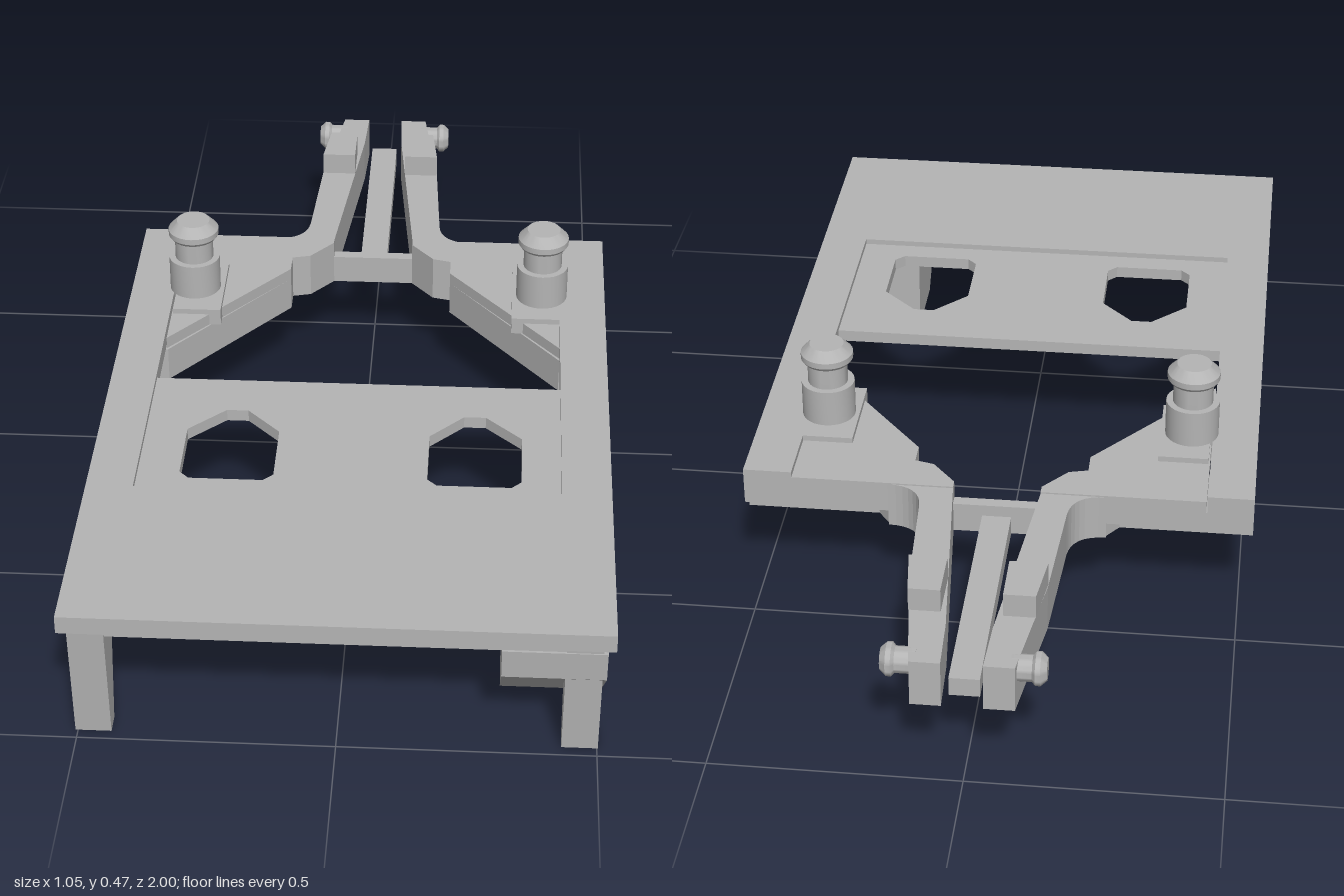
import * as THREE from 'three';
import { toCreasedNormals } from 'three/addons/utils/BufferGeometryUtils.js';

const gray = new THREE.MeshStandardMaterial({ color: 0xb4b4b4 });
gray.name = 'grey plastic';

const DECK_BOTTOM = 0.257, DECK_LOW = 0.283, DECK_TOP = 0.295;

function toShape(points) {
  return new THREE.Shape(points.map(([a, b]) => new THREE.Vector2(a, b)));
}

// Outline in (x, z), raised from y0 to y1
function planPart(name, points, y0, y1, holes = []) {
  const flip = (pts) => pts.map(([x, z]) => [x, -z]);
  const shape = toShape(flip(points));
  holes.forEach((h) => shape.holes.push(toShape(flip(h))));
  const g = new THREE.ExtrudeGeometry(shape, { depth: y1 - y0, bevelEnabled: false });
  g.rotateX(-Math.PI / 2).translate(0, y0, 0);
  return named(name, g);
}

// Outline in (z, y), widened from x0 to x1
function sidePart(name, points, x0, x1) {
  const shape = toShape(points.map(([z, y]) => [-z, y]));
  const g = new THREE.ExtrudeGeometry(shape, { depth: x1 - x0, bevelEnabled: false });
  g.rotateY(Math.PI / 2).translate(x0, 0, 0);
  return named(name, g);
}

function boxPart(name, x0, x1, y0, y1, z0, z1) {
  const g = new THREE.BoxGeometry(x1 - x0, y1 - y0, z1 - z0);
  g.translate((x0 + x1) / 2, (y0 + y1) / 2, (z0 + z1) / 2);
  return named(name, g);
}

function lathe(name, profile) {
  const g = new THREE.LatheGeometry(profile.map(([r, y]) => new THREE.Vector2(r, y)), 28);
  return named(name, toCreasedNormals(g, 0.5));
}

function named(name, geometry) {
  const mesh = new THREE.Mesh(geometry, gray);
  mesh.name = name;
  return mesh;
}

export function createModel() {
  const model = new THREE.Group();
  model.name = 'bracketPlate';
  const mirror = (points, s) => points.map(([x, z]) => [s * x, z]);

  // Flat frame: front plate with two long side rails
  model.add(planPart('frame', [
    [-0.525, 1], [0.525, 1], [0.525, -0.42], [0.425, -0.42], [0.425, 0.58],
    [-0.43, 0.58], [-0.43, -0.42], [-0.525, -0.42],
  ], DECK_BOTTOM, DECK_TOP));

  // Slightly sunken panel with two pointed windows
  const windowOutline = [
    [0.155, 0.51], [0.175, 0.53], [0.325, 0.53], [0.345, 0.51],
    [0.345, 0.36], [0.27, 0.287], [0.225, 0.287], [0.155, 0.36],
  ];
  model.add(planPart('sunkenPanel',
    [[-0.43, 0.58], [0.425, 0.58], [0.425, 0.175], [-0.43, 0.175]],
    DECK_BOTTOM, DECK_LOW, [windowOutline, mirror(windowOutline, -1)]));

  // Underside pad and small catch
  model.add(boxPart('undersidePad', -0.48, 0.48, 0.249, DECK_BOTTOM, 0.6, 0.995));
  model.add(sidePart('catch',
    [[0.5, DECK_BOTTOM], [0.46, 0.215], [0.425, 0.215], [0.385, DECK_BOTTOM]], -0.105, -0.04));

  // Tapered front legs
  const legProfile = [[0.998, DECK_BOTTOM], [0.978, 0], [0.937, 0], [0.89, DECK_BOTTOM]];
  model.add(sidePart('rightLeg', legProfile, -0.505, -0.435));
  model.add(sidePart('leftLeg', legProfile, 0.432, 0.502));

  // Chamfered block behind the left leg
  model.add(sidePart('cornerBlock', [
    [1, 0.25], [0.995, 0.185], [0.83, 0.022], [0.662, 0.022], [0.662, 0.19], [0.72, 0.25],
  ], 0.312, 0.51));

  for (const s of [1, -1]) {
    const side = new THREE.Group();
    side.name = s > 0 ? 'leftRearSide' : 'rightRearSide';

    // Triangular deck and the diagonal wall beneath it
    side.add(planPart('gussetDeck', mirror([
      [0.428, 0.02], [0.18, -0.28], [0.18, -0.33], [0.14, -0.34], [0.09, -0.4],
      [0.09, -0.42], [0.428, -0.42],
    ], s), DECK_BOTTOM, DECK_LOW));
    side.add(planPart('diagonalWall', mirror([
      [0.525, 0.025], [0.425, 0.025], [0.18, -0.28], [0.18, -0.33], [0.14, -0.34], [0.09, -0.4],
      [0.09, -0.42], [0.22, -0.42], [0.25, -0.38], [0.425, -0.38], [0.425, -0.28], [0.285, -0.28],
      [0.485, -0.04], [0.525, -0.04],
    ], s), 0.18, DECK_BOTTOM));
    const outer = s > 0 ? [0.425, 0.525] : [-0.525, -0.425];
    side.add(boxPart('railEndBlock', ...outer, 0.18, DECK_BOTTOM, -0.38, -0.28));
    const lip = s > 0 ? [0.22, 0.525] : [-0.525, -0.22];
    side.add(boxPart('rearLip', ...lip, 0.215, DECK_BOTTOM, -0.42, -0.38));

    // Post on its raised pad
    const pad = s > 0 ? [0.32, 0.425] : [-0.425, -0.32];
    side.add(boxPart('postPad', ...pad, DECK_BOTTOM, DECK_TOP, -0.28, -0.08));
    const post = lathe('post', [
      [0, 0.29], [0.056, 0.29], [0.056, 0.375], [0.042, 0.375], [0.042, 0.425],
      [0.05, 0.425], [0.055, 0.432], [0.055, 0.445], [0.036, 0.465], [0, 0.465],
    ]);
    post.position.set(s * 0.385, 0, -0.18);
    side.add(post);

    // Rear arm with a curved root
    const root = new THREE.QuadraticBezierCurve(
      new THREE.Vector2(0.225, -0.42), new THREE.Vector2(0.155, -0.42), new THREE.Vector2(0.15, -0.49));
    const armOutline = [
      [0.09, -0.42], ...root.getPoints(8).map((p) => [p.x, p.y]),
      [0.136, -0.74], [0.122, -0.84], [0.1, -1], [0.04, -1], [0.045, -0.88],
    ];
    side.add(planPart('arm', mirror(armOutline, s), 0.18, 0.28));
    side.add(planPart('armLug', mirror(
      [[0.06, -0.73], [0.136, -0.73], [0.123, -0.84], [0.06, -0.84]], s), 0.28, 0.33));

    // Rounded pin on the outside of the arm tip
    const pin = lathe('pin', [
      [0, 0], [0.026, 0], [0.026, 0.04], [0.033, 0.046], [0.033, 0.056], [0.022, 0.068], [0, 0.068],
    ]);
    pin.rotation.z = -s * Math.PI / 2;
    pin.position.set(s * 0.09, 0.255, -0.963);
    side.add(pin);
    model.add(side);
  }

  // Crossbar and central rib between the arms
  model.add(boxPart('crossbar', -0.092, 0.092, 0.18, 0.245, -0.425, -0.4));
  model.add(boxPart('centreRib', -0.03, 0.03, 0.18, 0.22, -0.965, -0.42));
  return model;
}
